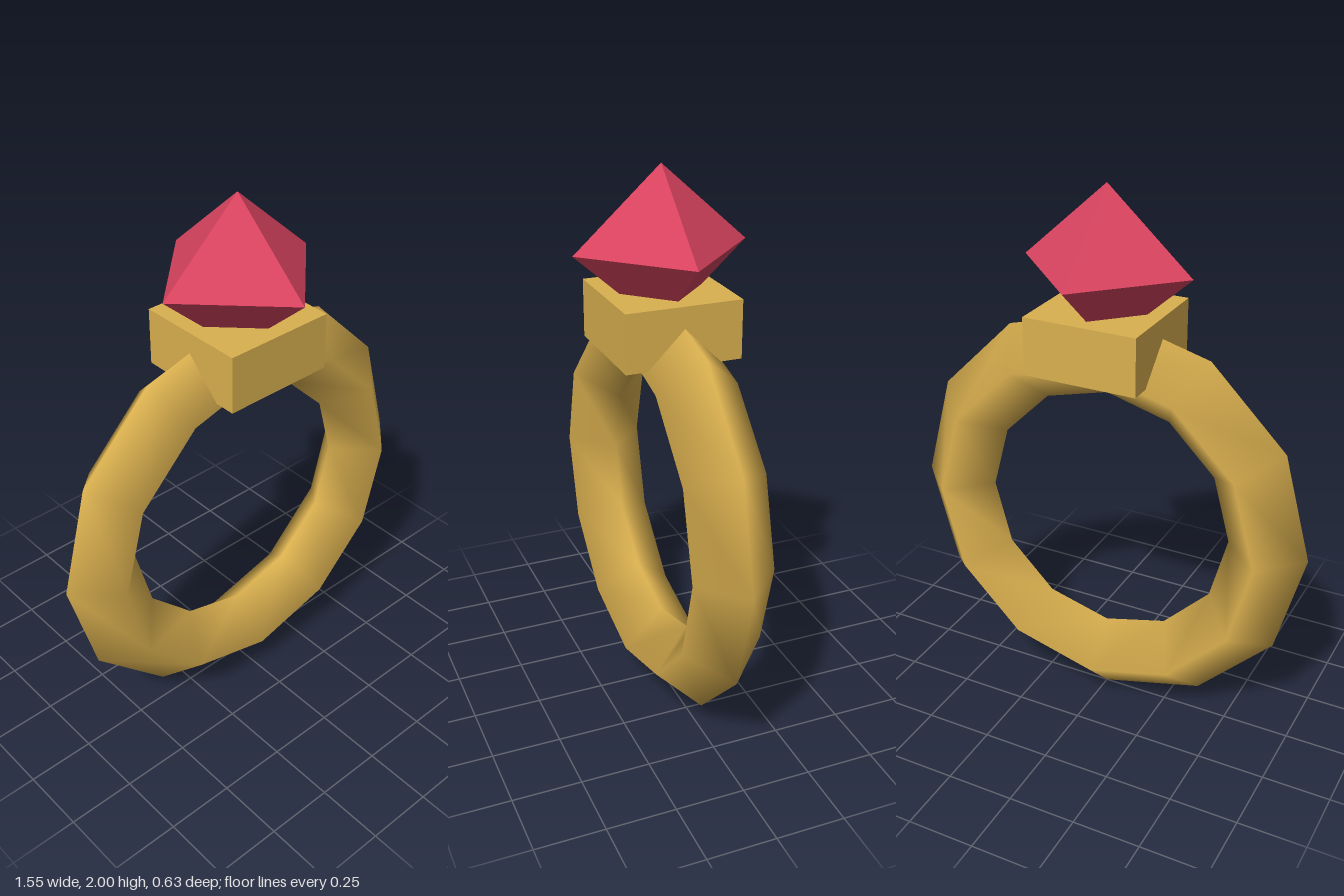
import * as THREE from 'three';

export function createModel() {
  const group = new THREE.Group();
  const gold = new THREE.MeshStandardMaterial({ color: 0xdab04f });
  gold.name = 'gold';
  const ruby = new THREE.MeshStandardMaterial({ color: 0xd9435f });
  ruby.name = 'ruby red';

  const add = (name, geometry, material, y) => {
    const mesh = new THREE.Mesh(geometry, material);
    mesh.name = name;
    mesh.position.y = y;
    group.add(mesh);
    return mesh;
  };

  // Twelve-segment band with a diamond-shaped section and smooth normals
  add('band', new THREE.TorusGeometry(0.628, 0.147, 4, 12), gold, 0.775);

  // Block that holds the stone
  add('setting', new THREE.BoxGeometry(0.42, 0.21, 0.42), gold, 1.466);

  // Faceted stone, slightly flattened, its lower tip sunk in the setting
  const gem = new THREE.OctahedronGeometry(0.314).scale(1, 0.9, 1);
  gem.computeVertexNormals();
  add('gem', gem, ruby, 1.717);

  return group;
}
